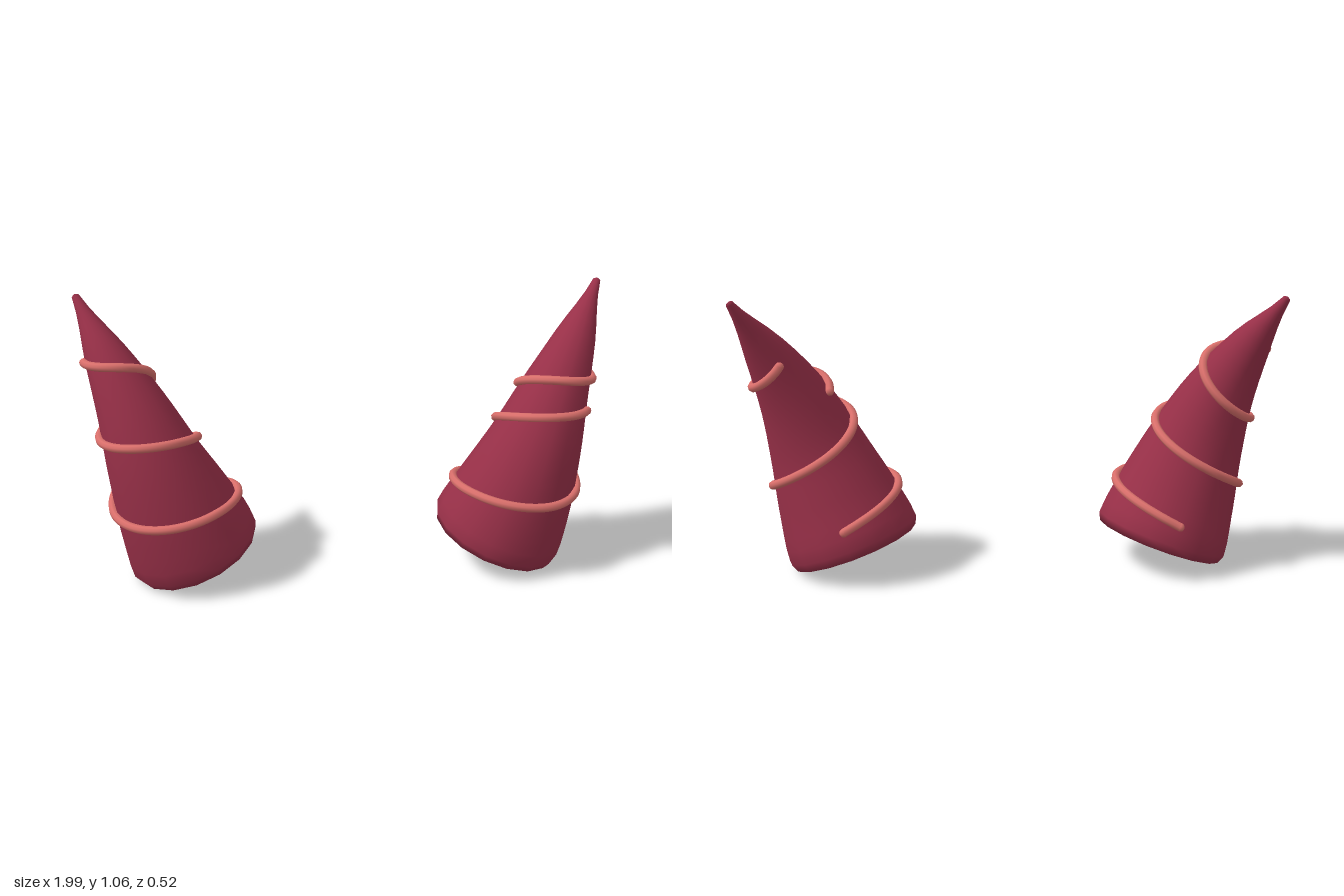
import * as THREE from 'three';

const SIDES = 16, RINGS = 20, Y0 = 0.09, Y1 = 1.06;

// Spine of the left (+x) horn and its radius, both sampled at equal height steps
const spine = new THREE.CatmullRomCurve3([
  [0.585, 0.09, 0], [0.654, 0.284, 0.022], [0.722, 0.478, 0.023],
  [0.793, 0.672, -0.012], [0.882, 0.866, -0.082], [0.984, 1.06, -0.192],
].map(p => new THREE.Vector3(...p)), false, 'catmullrom', 0.5);
const radii = new THREE.SplineCurve(
  [0.262, 0.228, 0.182, 0.134, 0.08, 0.014].map((r, i) => new THREE.Vector2(r, i)));

// Point on the horn's skin: t along the spine, angle from outside towards the back
function skin(t, angle, scale = 1, lift = 0) {
  const T = spine.getTangent(t);
  const u = new THREE.Vector3(1, 0, 0).addScaledVector(T, -T.x).normalize();
  const w = new THREE.Vector3().crossVectors(T, u);
  const r = radii.getPoint(t).x * scale + lift;
  return spine.getPoint(t)
    .addScaledVector(u, r * Math.cos(angle))
    .addScaledVector(w, r * Math.sin(angle));
}

// Horn body: rings along the spine, a bevelled closed base and a blunt tip
function hornGeometry(side) {
  const rings = [[0, 0.93], [0.03, 0.99]];
  for (let i = 1; i <= RINGS; i++) rings.push([0.03 + 0.97 * i / RINGS, 1]);
  const pos = [], index = [];
  const add = p => pos.push(p.x * side, p.y, p.z);
  const tri = (a, b, c) => side > 0 ? index.push(a, b, c) : index.push(a, c, b);
  for (const [t, s] of rings)
    for (let j = 0; j < SIDES; j++) add(skin(t, j / SIDES * Math.PI * 2, s));
  const base = rings.length * SIDES, tip = base + 1, last = base - SIDES;
  add(spine.getPoint(0));
  add(spine.getPoint(1).addScaledVector(spine.getTangent(1), 0.008));
  for (let j = 0; j < SIDES; j++) {
    const k = (j + 1) % SIDES;
    for (let i = 0; i < last; i += SIDES) {
      tri(i + j, i + k, i + SIDES + k);
      tri(i + j, i + SIDES + k, i + SIDES + j);
    }
    tri(base, k, j);
    tri(last + j, last + k, tip);
  }
  const g = new THREE.BufferGeometry();
  g.setAttribute('position', new THREE.Float32BufferAttribute(pos, 3));
  g.setIndex(index);
  g.computeVertexNormals();
  return g;
}

// Cord winding up the horn between two angles (degrees) and two spine heights
function spiral(side, a0, a1, y0, y1, material) {
  const n = Math.ceil((a1 - a0) / 15), pts = [];
  for (let i = 0; i <= n; i++) {
    const f = i / n, y = y0 + (y1 - y0) * f;
    const p = skin((y - Y0) / (Y1 - Y0), THREE.MathUtils.degToRad(a0 + (a1 - a0) * f), 1, 0.006);
    p.x *= side;
    pts.push(p);
  }
  const group = new THREE.Group();
  group.name = 'spiralCord';
  const cord = new THREE.Mesh(
    new THREE.TubeGeometry(new THREE.CatmullRomCurve3(pts), n * 3, 0.0165, 8), material);
  cord.name = 'cord';
  group.add(cord);
  // Rounded ends
  for (const p of [pts[0], pts[n]]) {
    const end = new THREE.Mesh(new THREE.SphereGeometry(0.0165, 8, 6), material);
    end.name = 'cordEnd';
    end.position.copy(p);
    group.add(end);
  }
  return group;
}

export function createModel() {
  const hornRed = new THREE.MeshStandardMaterial({ color: 0x983048 });
  hornRed.name = 'hornRed';
  const coral = new THREE.MeshStandardMaterial({ color: 0xd96f6b });
  coral.name = 'coral';

  const model = new THREE.Group();
  model.name = 'hornPair';
  // Left horn carries two cords, right horn one long cord
  const cords = {
    1: [[92, 690, 0.19, 0.655], [170, 480, 0.665, 0.84]],
    '-1': [[90, 1065, 0.19, 0.87]],
  };
  for (const side of [1, -1]) {
    const horn = new THREE.Group();
    horn.name = side > 0 ? 'leftHorn' : 'rightHorn';
    const body = new THREE.Mesh(hornGeometry(side), hornRed);
    body.name = 'hornBody';
    horn.add(body);
    for (const c of cords[side]) horn.add(spiral(side, ...c, coral));
    model.add(horn);
  }
  return model;
}
